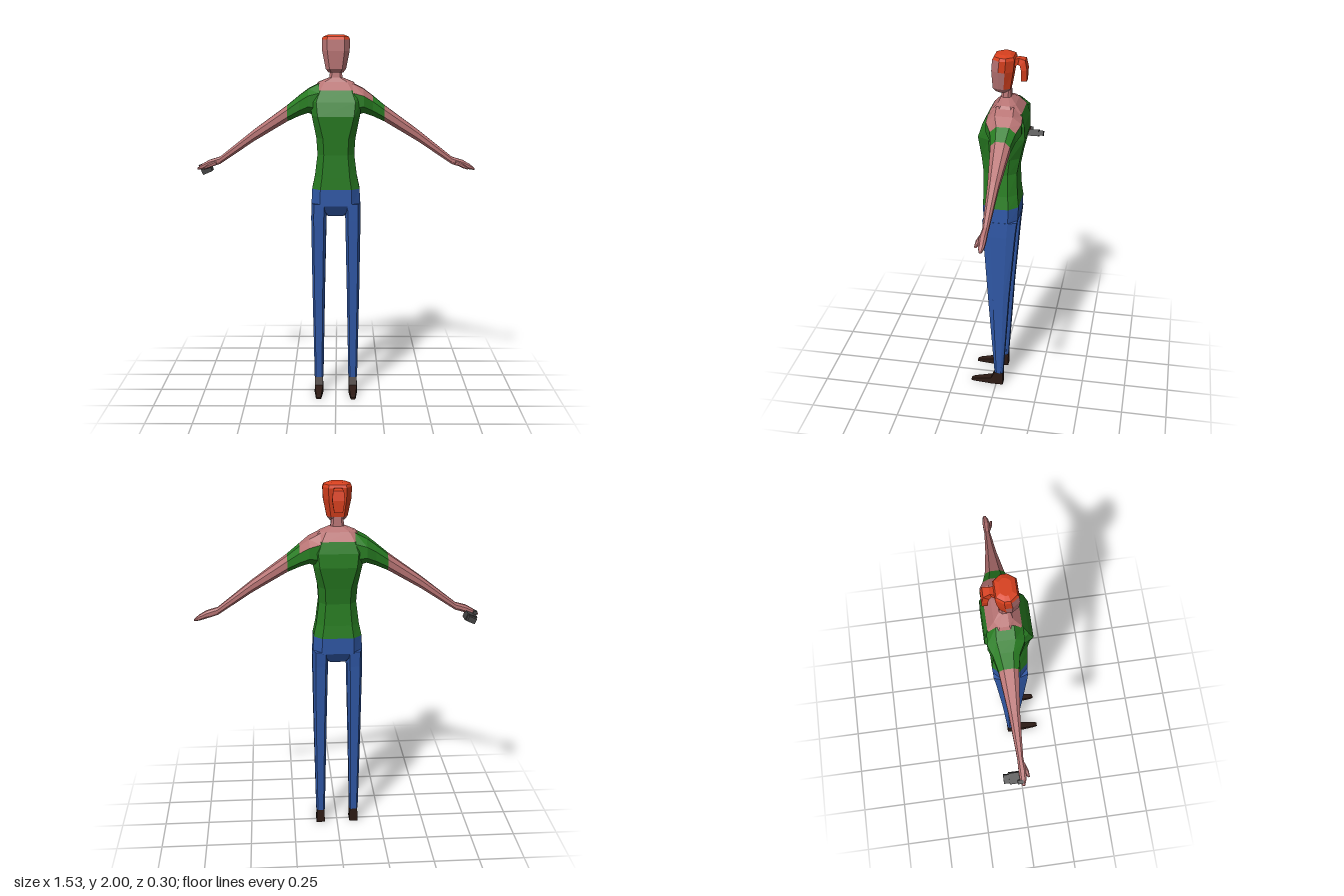
import * as THREE from 'three';

const COLORS = { skin: 0xb87474, shirt: 0x287c22, jeans: 0x3058a6, hair: 0xd8401e, shoe: 0x2c1a14, metal: 0x444444 };
const mats = {};
for (const k in COLORS) {
  mats[k] = new THREE.MeshStandardMaterial({ color: COLORS[k], flatShading: true, side: THREE.DoubleSide });
}

// Chamfered octagon, counter-clockwise; a and b are the lengths of its straight sides
const octagon = (a, b) => [[1, a], [b, 1], [-b, 1], [-1, a], [-1, -a], [-b, -1], [b, -1], [1, -a]];

// Level section: height, centre x, half width, front z, back z
const level = (y, cx, hx, zf, zb, a = 0.65, b = 0.5) =>
  octagon(a, b).map(([c, s]) => [cx + s * hx, y, (zf + zb) / 2 + c * (zf - zb) / 2]);

// Upright section across the arm: x, top, bottom, front z, back z
const across = (x, yt, yb, zf, zb) =>
  octagon(0.5, 0.45).map(([c, s]) => [x, (yt + yb) / 2 + c * (yt - yb) / 2, (zf + zb) / 2 + s * (zf - zb) / 2]);

const mirror = (rings) => rings.map((r) => r.map(([x, y, z]) => [-x, y, z]).reverse());

// Skin over successive rings; sides picks which strips to keep, caps closes the ends
function loft(parent, name, mat, rings, { sides = null, caps = true } = {}) {
  const n = rings[0].length, pos = [];
  const tri = (...p) => p.forEach((v) => pos.push(...v));
  const keep = sides || rings[0].map((_, i) => i);
  for (let i = 0; i < rings.length - 1; i++) {
    for (const k of keep) {
      const j = (k + 1) % n, a = rings[i], b = rings[i + 1];
      tri(a[k], a[j], b[j]);
      tri(a[k], b[j], b[k]);
    }
  }
  if (caps && !sides) {
    const first = rings[0], last = rings[rings.length - 1];
    for (let k = 1; k < n - 1; k++) {
      tri(first[0], first[k + 1], first[k]);
      tri(last[0], last[k], last[k + 1]);
    }
  }
  const geo = new THREE.BufferGeometry();
  geo.setAttribute('position', new THREE.Float32BufferAttribute(pos, 3));
  geo.computeVertexNormals();
  const mesh = new THREE.Mesh(geo, mats[mat]);
  mesh.name = name;
  parent.add(mesh);
  return mesh;
}

function buildTorso(g) {
  const collar = level(1.705, 0, 0.13, 0.04, -0.13);
  loft(g, 'shirt', 'shirt', [
    level(1.17, 0, 0.13, 0.075, -0.118),
    level(1.24, 0, 0.115, 0.075, -0.11),
    level(1.36, 0, 0.1, 0.075, -0.105),
    level(1.45, 0, 0.106, 0.084, -0.122),
    level(1.57, 0, 0.13, 0.097, -0.15, 0.75),
    level(1.645, 0, 0.14, 0.072, -0.147, 0.75),
    collar,
  ], { caps: false });
  loft(g, 'shouldersAndNeck', 'skin', [
    collar,
    level(1.748, 0, 0.095, 0.0, -0.095),
    level(1.772, 0, 0.036, -0.012, -0.064),
    level(1.82, 0, 0.03, -0.018, -0.062),
  ], { caps: false });
  loft(g, 'hips', 'jeans', [
    level(1.02, 0, 0.06, 0.035, -0.075),
    level(1.08, 0, 0.134, 0.074, -0.114),
    level(1.17, 0, 0.13, 0.075, -0.118),
  ]);
}

function buildHead(g) {
  const head = new THREE.Group();
  head.name = 'head';
  const lv = (y, hx, zf, zb) => level(y, 0, hx, zf, zb, 0.62, 0.3);
  const jaw = [lv(1.8, 0.04, 0.015, -0.05), lv(1.82, 0.055, 0.03, -0.062)];
  const mid = [jaw[1], lv(1.915, 0.074, 0.035, -0.078)];
  const brow = [mid[1], lv(1.975, 0.076, 0.03, -0.084)];
  const crown = [brow[1], lv(1.99, 0.07, 0.022, -0.078), lv(2.0, 0.045, 0.0, -0.058)];
  loft(head, 'jaw', 'skin', jaw);
  loft(head, 'cheeks', 'skin', mid, { sides: [5, 6, 7, 0, 1] });
  loft(head, 'forehead', 'skin', brow, { sides: [6, 7, 0] });
  loft(head, 'backHair', 'hair', mid, { sides: [2, 3, 4] });
  loft(head, 'sideHair', 'hair', brow, { sides: [1, 2, 3, 4, 5] });
  loft(head, 'topHair', 'hair', crown);
  // Ponytail: square sections that arch back and then hang: y, z, half width, y and z half thickness
  const tail = [
    [1.95, -0.07, 0.026, 0.022, 0], [1.962, -0.1, 0.018, 0.017, 0.004], [1.958, -0.122, 0.028, 0.014, 0.014],
    [1.92, -0.131, 0.032, 0.003, 0.015], [1.86, -0.129, 0.022, 0, 0.015],
  ].map(([y, z, w, ty, tz]) => [[w, y - ty, z + tz], [-w, y - ty, z + tz], [-w, y + ty, z - tz], [w, y + ty, z - tz]]);
  loft(head, 'ponytail', 'hair', tail);
  g.add(head);
}

function buildArm(g, left) {
  const arm = new THREE.Group();
  arm.name = left ? 'leftArm' : 'rightArm';
  const side = (r) => (left ? r : mirror(r));
  const shoulder = [
    across(0.09, 1.742, 1.56, 0.045, -0.135),
    across(0.15, 1.712, 1.583, 0.045, -0.14),
    across(0.2, 1.675, 1.565, 0.015, -0.118),
  ];
  const cuff = across(0.265, 1.622, 1.535, 0, -0.1);
  // The neckline leaves the top of the left shoulder bare
  if (left) {
    loft(arm, 'bareShoulder', 'skin', shoulder, { sides: [6, 7, 0] });
    loft(arm, 'underSleeve', 'shirt', shoulder, { sides: [1, 2, 3, 4, 5] });
  } else {
    loft(arm, 'shoulderSleeve', 'shirt', side(shoulder), { caps: false });
  }
  loft(arm, 'sleeve', 'shirt', side([shoulder[2], cuff]), { caps: false });
  loft(arm, 'forearmAndHand', 'skin', side([
    cuff,
    across(0.45, 1.488, 1.425, -0.02, -0.076),
    across(0.64, 1.338, 1.298, -0.03, -0.06),
    across(0.7, 1.32, 1.28, -0.024, -0.062),
    across(0.74, 1.297, 1.268, -0.028, -0.06),
    across(0.767, 1.275, 1.265, -0.038, -0.052),
  ]));
  loft(arm, 'thumb', 'skin', side([
    across(0.66, 1.318, 1.295, -0.025, -0.045),
    across(0.7, 1.3, 1.278, -0.01, -0.035),
    across(0.727, 1.282, 1.27, -0.008, -0.02),
  ]));
  g.add(arm);
}

function buildLeg(g, left) {
  const leg = new THREE.Group();
  leg.name = left ? 'leftLeg' : 'rightLeg';
  const side = (r) => (left ? r : mirror(r));
  loft(leg, 'trouserLeg', 'jeans', side([
    level(0.08, 0.096, 0.025, 0.01, -0.04),
    level(0.6, 0.096, 0.035, 0.045, -0.072),
    level(1.0, 0.094, 0.042, 0.07, -0.104),
    level(1.09, 0.092, 0.043, 0.074, -0.114),
  ]));
  // Shoe sections run from heel to toe: z, half width, height
  const shoe = [[-0.04, 0.024, 0.08], [0.01, 0.025, 0.08], [0.03, 0.025, 0.038], [0.13, 0.016, 0.018], [0.15, 0.011, 0.01]]
    .map(([z, w, h]) => [[0.096 - w, 0, z], [0.096 + w, 0, z], [0.096 + w * 0.9, h, z], [0.096 - w * 0.9, h, z]]);
  loft(leg, 'shoe', 'shoe', side(shoe));
  g.add(leg);
}

// Small camera held in the right hand
function buildCamera(g) {
  const cam = new THREE.Group();
  cam.name = 'handCamera';
  const box = (name, w, h, d, x, y, z) => {
    const m = new THREE.Mesh(new THREE.BoxGeometry(w, h, d), mats.metal);
    m.name = name;
    m.position.set(x, y, z);
    cam.add(m);
  };
  box('cameraBody', 0.056, 0.04, 0.07, 0, 0, 0.02);
  box('cameraLens', 0.044, 0.03, 0.03, 0, 0, -0.028);
  box('cameraGrip', 0.02, 0.025, 0.03, -0.02, 0.025, 0.04);
  cam.position.set(-0.718, 1.265, -0.098);
  cam.rotation.z = 0.4;
  g.add(cam);
}

export function createModel() {
  const g = new THREE.Group();
  g.name = 'standingWoman';
  buildTorso(g);
  buildHead(g);
  for (const left of [true, false]) {
    buildArm(g, left);
    buildLeg(g, left);
  }
  buildCamera(g);
  return g;
}
